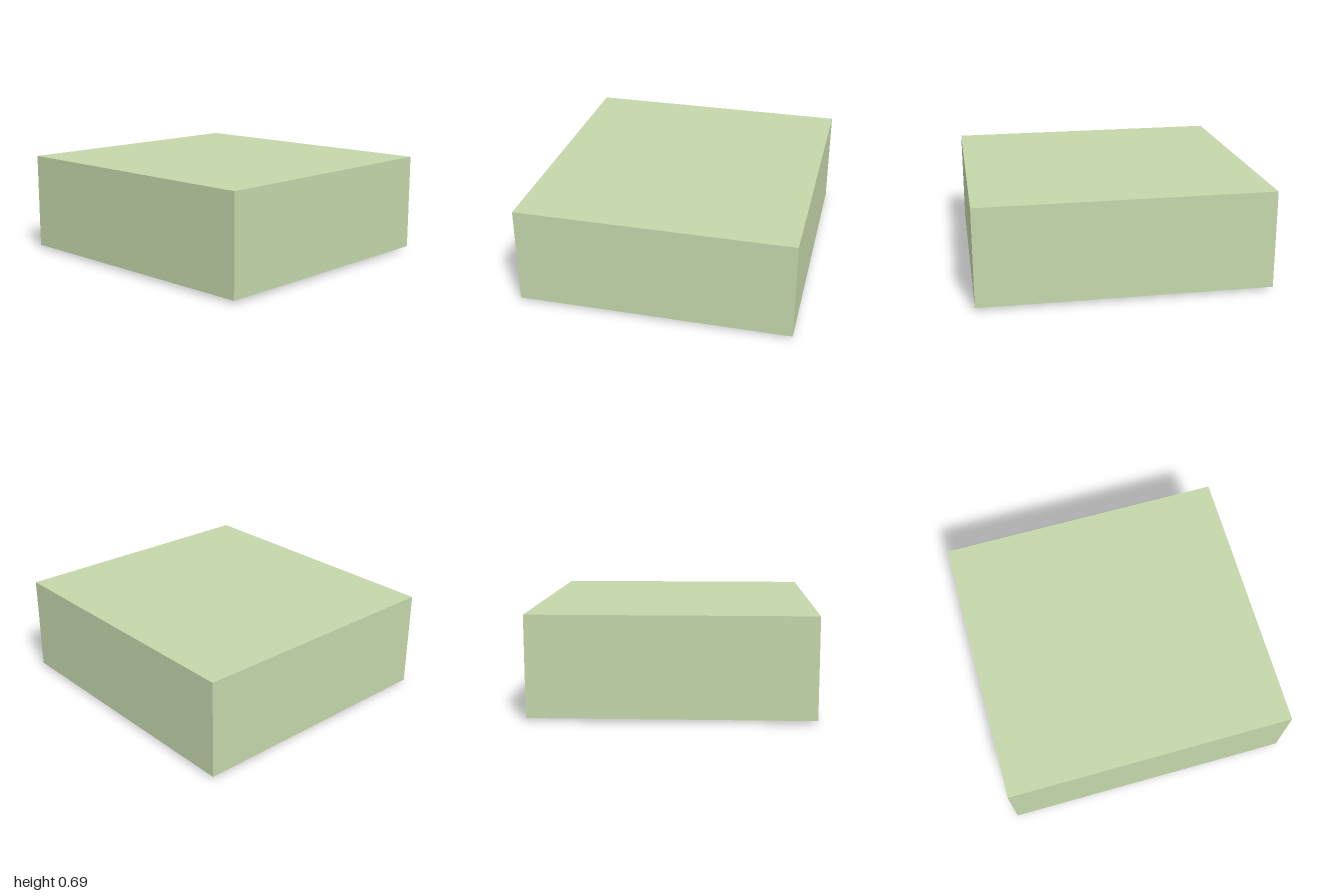
import * as THREE from 'three';

const material = (color, side = THREE.FrontSide) =>
  new THREE.MeshStandardMaterial({ color, side, flatShading: true });

const outline = (points) => new THREE.Shape(points.map(([x, z]) => new THREE.Vector2(x, z)));
const rectangle = (x0, x1, z0, z1) => [[x0, z0], [x1, z0], [x1, z1], [x0, z1]];

export function createModel() {
  const group = new THREE.Group();
  const add = (name, geometry, mat) => {
    const mesh = new THREE.Mesh(geometry, mat);
    mesh.name = name;
    group.add(mesh);
    return mesh;
  };

  // Horizontal plate: outline in x and z, between two heights
  const plate = (name, points, bottom, top, mat) => {
    const geometry = new THREE.ExtrudeGeometry(outline(points), { depth: top - bottom, bevelEnabled: false });
    geometry.rotateX(Math.PI / 2).translate(0, top, 0);
    return add(name, geometry, mat);
  };

  const green = material(0xc4d7ab, THREE.DoubleSide);
  const lilac = material(0xc0b9e1);
  const beige = material(0xddccc8);
  const teal = material(0x9adbc3);

  // Thin hollow casing: four walls and a roof, open below
  const bottom = 0.02, top = 0.695;
  const casing = new THREE.BoxGeometry(2, top - bottom, 1.88);
  const index = Array.from(casing.index.array);
  index.splice(18, 6);
  casing.setIndex(index);
  casing.clearGroups();
  casing.translate(0, (top + bottom) / 2, 0);
  add('casing', casing, green);

  // Floor with a rectangular opening
  const floor = outline(rectangle(-1, 1, -0.94, 0.94));
  floor.holes.push(outline(rectangle(-0.236, 0.71, -0.68, 0.765)));
  add('casingFloor', new THREE.ShapeGeometry(floor).rotateX(Math.PI / 2).translate(0, bottom, 0), green);

  // Block inside the opening, with a facing plate below it
  const blockOutline = rectangle(-0.205, 0.685, -0.515, 0.605);
  plate('innerBlock', blockOutline, 0.07, 0.2, lilac);
  plate('facingPlate', [
    [0.075, -0.515], [0.075, -0.45], [0.685, -0.45], [0.685, 0.605], [-0.205, 0.605], [-0.205, -0.515],
  ], 0.065, 0.07, beige);

  // Stepped plate running diagonally across the block
  plate('steppedPlate', [
    [0.16, -0.515], [0.685, -0.515], [0.685, 0.166], [0.56, 0.166], [0.56, 0.275], [0.48, 0.275],
    [0.48, 0.43], [0.415, 0.43], [0.415, 0.595], [-0.205, 0.595], [-0.205, -0.11], [-0.05, -0.11],
    [-0.05, -0.25], [0.055, -0.25], [0.055, -0.39], [0.16, -0.39],
  ], 0.03, 0.065, teal);

  // Small square peg that reaches the ground
  plate('peg', rectangle(0.02, 0.1, 0.21, 0.29), 0, 0.03, beige);

  return group;
}
